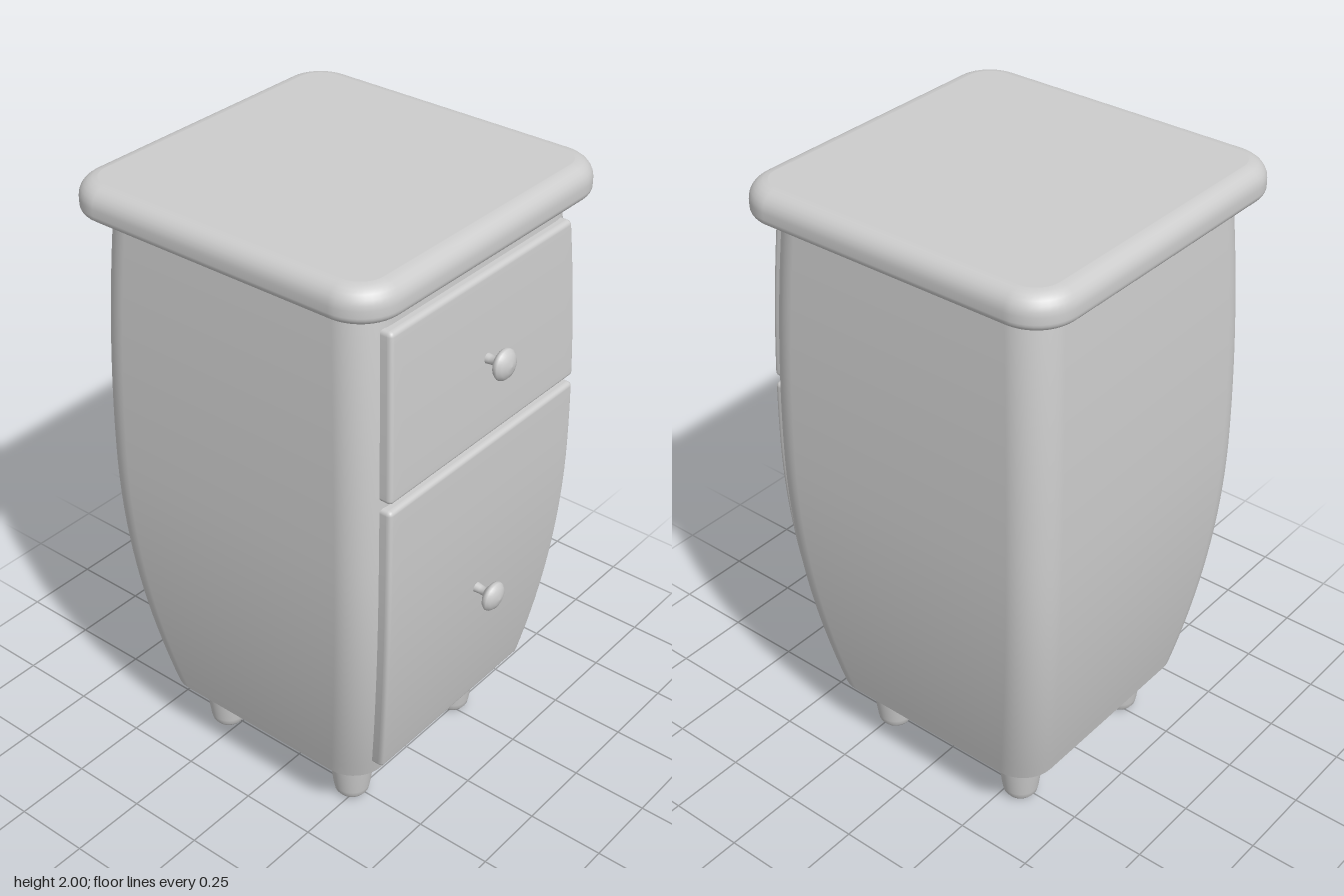
import * as THREE from 'three';
import { mergeVertices } from 'three/addons/utils/BufferGeometryUtils.js';

const CZ = -0.03; // centre line of the cabinet in z

// Half width of the bulging cabinet at height y
function halfAt(y) {
  return y < 1.1
    ? 0.508 - 0.098 * ((1.1 - y) / 0.89) ** 2
    : 0.508 - 0.033 * ((y - 1.1) / 0.8) ** 2;
}

// Stack of rounded squares [half, y, cornerRadius], closed by sharp-edged caps
function loftSquares(sections, bulge = 0) {
  const pos = [], index = [], arc = 10, n = 4 * (arc + 1);
  const ring = ([half, y, r]) => {
    for (let c = 0; c < 4; c++) {
      const sx = c === 0 || c === 3 ? 1 : -1, sz = c < 2 ? 1 : -1;
      for (let k = 0; k <= arc; k++) {
        const a = (c + k / arc) * Math.PI / 2;
        pos.push(sx * (half - r) + r * Math.cos(a), y, sz * (half - r) + r * Math.sin(a));
      }
    }
  };
  // Side midpoints are added so that the edges can bow outwards
  sections.forEach(ring);
  for (let i = 0; i < sections.length - 1; i++) {
    for (let j = 0; j < n; j++) {
      const a = i * n + j, b = i * n + (j + 1) % n;
      index.push(a, a + n, b, b, a + n, b + n);
    }
  }
  [sections[0], sections[sections.length - 1]].forEach((s, top) => {
    const start = pos.length / 3;
    ring(s);
    pos.push(0, s[1], 0);
    for (let j = 0; j < n; j++) {
      const p = start + j, q = start + (j + 1) % n;
      if (top) index.push(start + n, q, p);
      else index.push(start + n, p, q);
    }
  });
  const g = new THREE.BufferGeometry();
  g.setAttribute('position', new THREE.Float32BufferAttribute(pos, 3));
  g.setIndex(index);
  g.computeVertexNormals();
  return g;
}

// Round-edged panel that follows the curve of the cabinet front
function drawerFront(y0, y1) {
  const r = 0.014, N = 30, band = 3;
  const half = [0.44, (y1 - y0) / 2, 0.03];
  let g = new THREE.BoxGeometry(1, 1, 1, N, N, N);
  g.deleteAttribute('normal');
  g.deleteAttribute('uv');
  g = mergeVertices(g);
  const p = g.attributes.position, v = new THREE.Vector3(), inner = new THREE.Vector3();
  const lim = new THREE.Vector3(...half).subScalar(r);
  const spread = (u, h) => {
    const k = Math.round((u + 0.5) * N);
    if (k <= band) return -h + r * k / band;
    if (k >= N - band) return h - r * (N - k) / band;
    return (h - r) * (2 * (k - band) / (N - 2 * band) - 1);
  };
  for (let i = 0; i < p.count; i++) {
    v.fromBufferAttribute(p, i);
    v.set(spread(v.x, half[0]), spread(v.y, half[1]), spread(v.z, half[2]));
    inner.copy(v).clamp(lim.clone().negate(), lim);
    v.sub(inner).setLength(r).add(inner);
    const y = v.y + (y0 + y1) / 2, h = halfAt(y);
    p.setXYZ(i, v.x * (h - 0.07) / half[0], y, v.z + CZ + h);
  }
  g.computeVertexNormals();
  return g;
}

const lathe = (pts, seg = 32) =>
  new THREE.LatheGeometry(pts.map(([x, y]) => new THREE.Vector2(x, y)), seg);

export function createModel() {
  const group = new THREE.Group();
  const grey = new THREE.MeshStandardMaterial({ color: 0xcccccc });
  grey.name = 'plain grey';
  const add = (name, geometry, x = 0, y = 0, z = 0) => {
    const mesh = new THREE.Mesh(geometry, grey);
    mesh.name = name;
    mesh.position.set(x, y, z);
    group.add(mesh);
    return mesh;
  };

  // Bulging cabinet
  const body = [];
  for (let i = 0; i <= 32; i++) {
    const y = 0.21 + 1.7 * i / 32;
    body.push([halfAt(y), y, 0.11]);
  }
  add('cabinetBody', loftSquares(body), 0, 0, CZ);

  // Table top: small round below, larger round above
  const slab = [];
  const edge = (cy, r, from) => {
    for (let k = 0; k <= 6; k++) {
      const a = from + k / 6 * Math.PI / 2;
      const inset = r * (1 - Math.cos(a));
      slab.push([0.544 - inset, cy + r * Math.sin(a), 0.13 - inset]);
    }
  };
  edge(1.925, 0.025, -Math.PI / 2);
  edge(1.945, 0.055, 0);
  add('tableTop', loftSquares(slab), 0, 0, CZ - 0.003);

  // Drawer fronts
  add('upperDrawer', drawerFront(1.328, 1.84));
  add('lowerDrawer', drawerFront(0.27, 1.305));

  // Knobs: thin stem and lens-shaped head
  const knob = lathe([
    [0.018, -0.02], [0.014, 0.012], [0.014, 0.028], [0.024, 0.034], [0.042, 0.045],
    [0.048, 0.054], [0.046, 0.062], [0.036, 0.072], [0.02, 0.079], [0, 0.082],
  ]);
  for (const [name, y, tilt] of [['upperKnob', 1.585, -0.03], ['lowerKnob', 0.79, 0.07]]) {
    const z = CZ + halfAt(y) + 0.03;
    add(name, knob, 0, y, z + (tilt > 0 ? 0.005 : 0)).rotation.x = Math.PI / 2 + tilt;
  }

  // Tapered legs with rounded feet
  const leg = lathe([
    [0, 0.005], [0.03, 0.006], [0.045, 0.012], [0.054, 0.024], [0.058, 0.042],
    [0.069, 0.125], [0.08, 0.22],
  ]);
  for (const sx of [-1, 1]) {
    for (const sz of [-1, 1]) {
      const name = (sz > 0 ? 'front' : 'back') + (sx > 0 ? 'Left' : 'Right') + 'Leg';
      add(name, leg, sx * 0.265, -0.005, CZ + sz * 0.265);
    }
  }
  return group;
}
